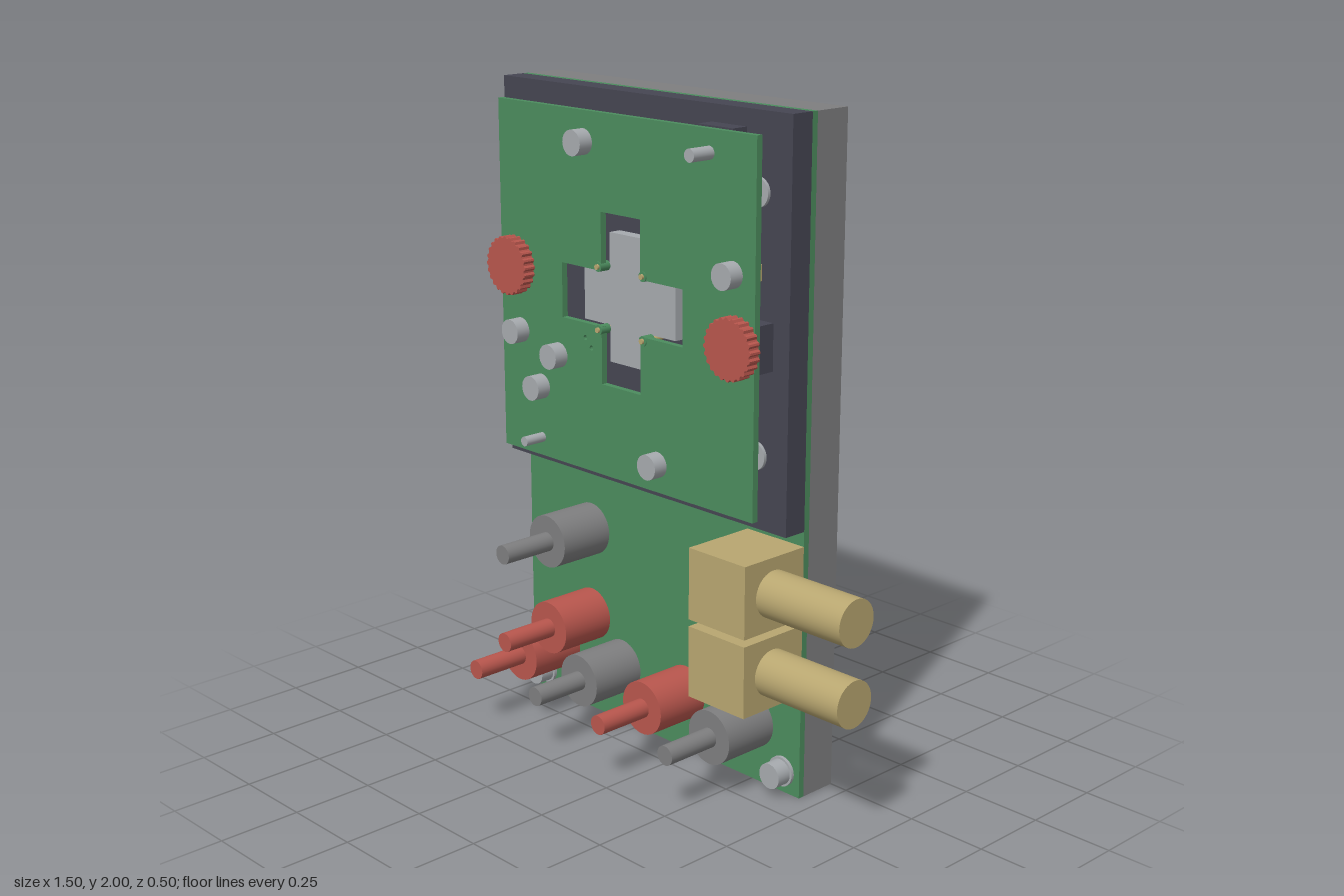
import * as THREE from 'three';

const mat = (name, color) => {
  const m = new THREE.MeshStandardMaterial({ color });
  m.name = name;
  return m;
};

export function createModel() {
  const grey = mat('plate grey', 0x7e7e7f);
  const green = mat('board green', 0x4c8c5e);
  const dark = mat('block charcoal', 0x454552);
  const silver = mat('steel', 0xa6aaae);
  const brass = mat('brass', 0xb8a670);
  const red = mat('red plastic', 0xb8564d);

  const model = new THREE.Group();
  const add = (name, geo, material, parent = model) => {
    const m = new THREE.Mesh(geo, material);
    m.name = name;
    parent.add(m);
    return m;
  };
  // box from its limits on each axis
  const box = (name, material, x0, x1, y0, y1, z0, z1) => {
    const m = add(name, new THREE.BoxGeometry(x1 - x0, y1 - y0, z1 - z0), material);
    m.position.set((x0 + x1) / 2, (y0 + y1) / 2, (z0 + z1) / 2);
    return m;
  };
  // cylinder or prism along z
  const rod = (name, material, x, y, r, z0, z1, sides = 32) => {
    const g = new THREE.CylinderGeometry(r, r, z1 - z0, sides);
    if (sides <= 6) {
      const flat = g.toNonIndexed();
      flat.computeVertexNormals();
      g.copy(flat);
    }
    g.rotateX(Math.PI / 2);
    const m = add(name, g, material);
    m.position.set(x, y, (z0 + z1) / 2);
    return m;
  };
  const rect = (x0, x1, y0, y1) => new THREE.Shape([
    new THREE.Vector2(x0, y0), new THREE.Vector2(x1, y0),
    new THREE.Vector2(x1, y1), new THREE.Vector2(x0, y1)]);
  const ring = (x, y, r, n) => new THREE.Path(Array.from({ length: n }, (_, i) => {
    const a = i / n * Math.PI * 2 + Math.PI / 2;
    return new THREE.Vector2(x + r * Math.cos(a), y + r * Math.sin(a));
  }));
  const slab = (name, material, shape, z0, z1) => {
    const m = add(name, new THREE.ExtrudeGeometry(shape, { depth: z1 - z0, bevelEnabled: false }), material);
    m.position.z = z0;
    return m;
  };

  // x, y positions of the hardware
  const sockets = [
    [-0.46, 0.61, grey], [-0.46, 0.325, red], [-0.605, 0.19, red],
    [-0.32, 0.19, grey], [-0.035, 0.19, red], [0.25, 0.19, grey]];
  const cornerBolts = [[-0.64, 1.78], [0.32, 1.78], [-0.64, 1.04], [0.32, 1.04]];
  const footBolts = [[-0.685, 0.067], [0.373, 0.067]];
  const knobs = [[-0.625, 1.45], [0.312, 1.36]];
  const deepHex = [...knobs, [-0.113, 1.872], [-0.204, 0.934]];

  // back plate with socket clearances and hexagonal nut pockets
  const plate = rect(-0.75, 0.44, 0, 2);
  for (const [x, y] of sockets) plate.holes.push(ring(x, y, 0.054, 28));
  for (const [x, y] of [...cornerBolts, ...footBolts, ...deepHex]) plate.holes.push(ring(x, y, 0.046, 6));
  slab('backPlate', grey, plate, -0.25, -0.13);
  for (const [x, y] of [...cornerBolts, ...footBolts]) rod('nut', silver, x, y, 0.045, -0.235, -0.14, 6);
  for (const [x, y] of deepHex) rod('recessedNut', grey, x, y, 0.045, -0.18, -0.135, 6);

  // lower circuit board and carrier block
  box('baseBoard', green, -0.75, 0.44, 0, 2, -0.13, -0.11);
  box('carrierBlock', dark, -0.75, 0.44, 0.825, 2, -0.11, -0.035);
  for (const [x, y] of cornerBolts) rod('carrierBolt', silver, x, y, 0.042, -0.06, -0.025);

  // upper board with a cross-shaped window
  const board = rect(-0.69, 0.38, 0.87, 1.945);
  const cx = -0.155, cy = 1.405;
  const cross = (arm, half) => [
    [-half, -arm], [half, -arm], [half, -half], [arm, -half], [arm, half], [half, half],
    [half, arm], [-half, arm], [-half, half], [-arm, half], [-arm, -half], [-half, -half]
  ].map(([x, y]) => new THREE.Vector2(cx + x, cy + y));
  board.holes.push(new THREE.Path(cross(0.256, 0.083)));
  for (const [x, y] of [[-0.31, 1.277], [-0.284, 1.25]]) board.holes.push(ring(x, y, 0.008, 12));
  slab('upperBoard', green, board, 0.018, 0.038);

  // cross-shaped sample plate and its contact pins
  slab('crossPlate', silver, new THREE.Shape(cross(0.193, 0.082)), -0.035, 0.005);
  for (const sx of [-1, 1]) for (const sy of [-1, 1]) {
    rod('contactSleeve', green, cx + sx * 0.094, cy + sy * 0.094, 0.015, 0.005, 0.041, 16);
    rod('contactPin', brass, cx + sx * 0.094, cy + sy * 0.094, 0.008, -0.035, 0.048, 12);
  }

  // support blocks under the knobs and locating pins
  for (const [x, y] of knobs) box('knobSupport', dark, x - 0.068, x + 0.068, y - 0.068, y + 0.068, -0.035, 0.018);
  box('upperPinSupport', dark, 0.138, 0.272, 1.81, 1.95, -0.035, 0.018);
  box('lowerPinSupport', dark, -0.58, -0.447, 0.862, 1.0, -0.035, 0.018);
  rod('upperPin', silver, 0.203, 1.88, 0.019, 0.018, 0.115, 20);
  rod('lowerPin', silver, -0.513, 0.928, 0.015, 0.018, 0.112, 20);

  // knurled thumb knobs
  for (const [x, y] of knobs) {
    const n = 24, pts = [];
    for (let i = 0; i < n * 4; i++) {
      const a = i / (n * 4) * Math.PI * 2, r = i % 4 < 2 ? 0.09 : 0.084;
      pts.push(new THREE.Vector2(x + r * Math.cos(a), y + r * Math.sin(a)));
    }
    slab('thumbKnob', red, new THREE.Shape(pts), 0.038, 0.077);
  }

  // board screws on hexagonal spacers
  for (const [x, y] of [[-0.31, 1.855], [0.295, 1.56], [-0.605, 1.25], [-0.43, 1.203], [-0.513, 1.09], [-0.002, 0.955]]) {
    rod('hexSpacer', brass, x, y, 0.045, -0.035, 0.018, 6);
    rod('boardScrew', silver, x, y, 0.038, 0.038, 0.084);
  }

  // plug sockets and foot screws
  for (const [x, y, m] of sockets) {
    rod('socketBody', m, x, y, 0.083, -0.11, 0.073, 40);
    rod('socketPin', m, x, y, 0.03, 0.073, 0.25, 24);
  }
  for (const [x, y] of footBolts) {
    rod('footWasher', silver, x, y, 0.046, -0.11, -0.1);
    rod('footScrew', silver, x, y, 0.039, -0.1, -0.053);
  }

  // coaxial side connectors
  for (const y of [0.435, 0.672]) {
    box('coaxBlock', brass, 0.22, 0.44, y - 0.108, y + 0.108, -0.11, 0.127);
    const barrel = add('coaxBarrel', new THREE.CylinderGeometry(0.07, 0.07, 0.307, 40), brass);
    barrel.rotation.z = Math.PI / 2;
    barrel.position.set(0.5935, y, 0.012);
  }
  return model;
}
